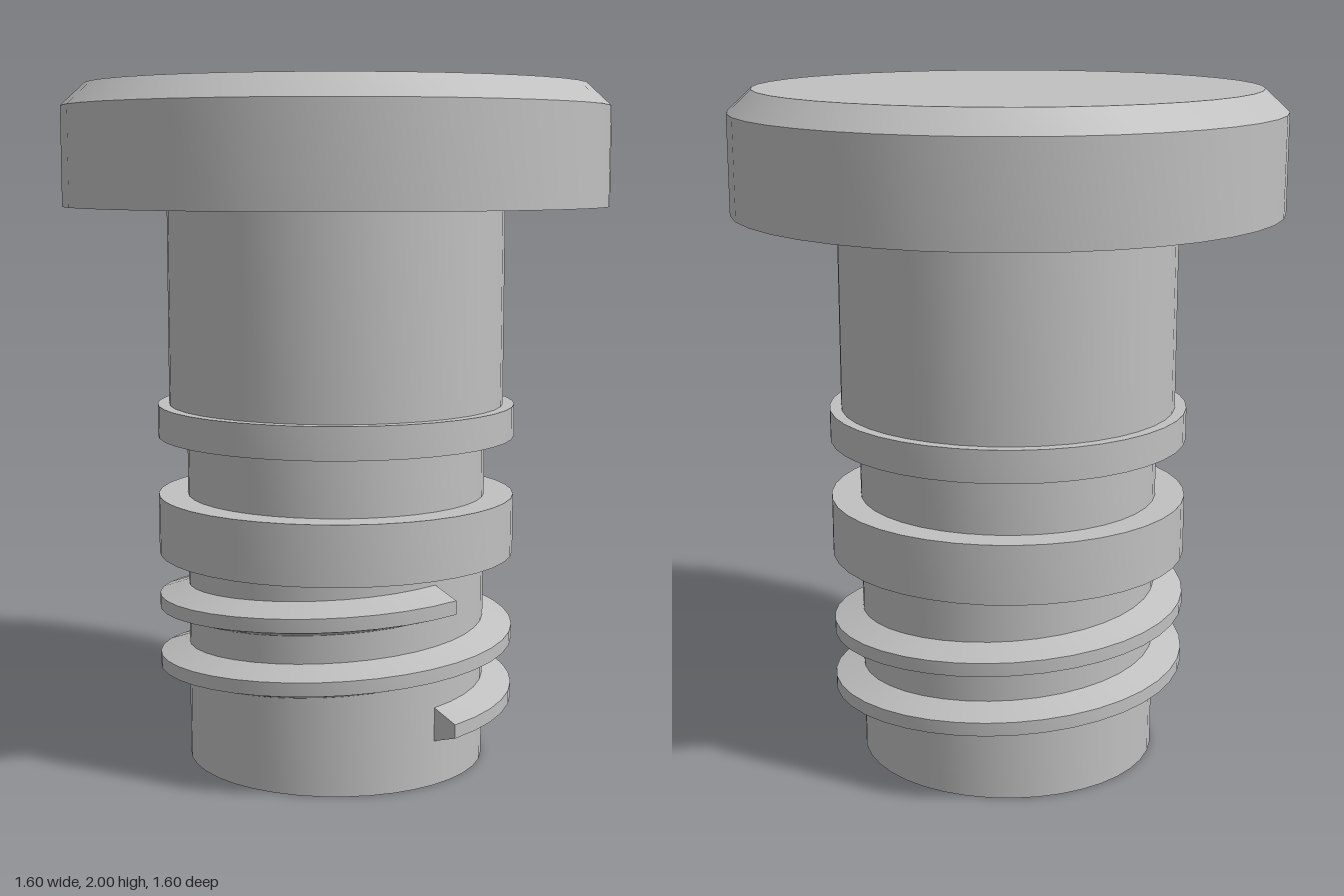
import * as THREE from 'three';
import { toCreasedNormals } from 'three/addons/utils/BufferGeometryUtils.js';

const SIDES = 40;

export function createModel() {
  const model = new THREE.Group();
  const grey = new THREE.MeshStandardMaterial({ color: 0xc0c0c0 });
  grey.name = 'plain grey';
  const innerGrey = grey.clone();
  innerGrey.side = THREE.BackSide;

  const add = (name, geometry, material = grey) => {
    const mesh = new THREE.Mesh(geometry, material);
    mesh.name = name;
    model.add(mesh);
    return mesh;
  };
  const turned = (name, profile) => {
    const points = profile.map(([r, y]) => new THREE.Vector2(r, y));
    add(name, toCreasedNormals(new THREE.LatheGeometry(points, SIDES), 0.5));
  };

  // Stem with its two collars, turned as one stepped body
  turned('stem', [
    [0, 0], [0.443, 0], [0.443, 0.625], [0.53, 0.625], [0.53, 0.8], [0.443, 0.8],
    [0.443, 0.975], [0.53, 0.975], [0.53, 1.07], [0.496, 1.07], [0.496, 1.65],
  ]);

  // Head with a bevelled top edge
  turned('head', [[0.798, 1.65], [0.798, 1.935], [0.728, 2], [0, 2]]);

  // Underside of the head, with a small pocket beside the stem
  const pocket = { x0: 0.5, x1: 0.6, z0: -0.06, z1: 0.12, depth: 0.1 };
  const { x0, x1, z0, z1, depth } = pocket;
  const disc = new THREE.Shape().absarc(0, 0, 0.798, 0, Math.PI * 2, false);
  disc.holes.push(new THREE.Path([[x0, z0], [x0, z1], [x1, z1], [x1, z0]]
    .map(([x, z]) => new THREE.Vector2(x, z))));
  const under = add('headUnderside', new THREE.ShapeGeometry(disc, SIDES / 2).rotateX(Math.PI / 2));
  under.position.y = 1.65;

  // Pocket walls and ceiling, seen from inside; the bottom face is left open
  const box = new THREE.BoxGeometry(x1 - x0, depth, z1 - z0);
  const index = Array.from(box.index.array);
  index.splice(18, 6);
  box.setIndex(index);
  const recess = add('headPocket', box, innerGrey);
  recess.position.set((x0 + x1) / 2, 1.65 + depth / 2, (z0 + z1) / 2);

  add('screwThread', threadGeometry(0.18, 0.18, 2));
  return model;
}

// Trapezoid section swept up a helix that starts on the +x side
function threadGeometry(startY, pitch, turns) {
  const section = [[0.435, -0.052], [0.53, -0.02], [0.53, 0.02], [0.435, 0.052]];
  const steps = SIDES * turns;
  const positions = [], index = [];
  for (let i = 0; i <= steps; i++) {
    const t = (i / SIDES) * Math.PI * 2;
    for (const [r, y] of section) {
      positions.push(r * Math.cos(t), startY + (pitch * i) / SIDES + y, -r * Math.sin(t));
    }
  }
  for (let i = 0; i < steps; i++) {
    for (let j = 0; j < 4; j++) {
      const a = i * 4 + j, c = i * 4 + ((j + 1) % 4);
      index.push(a, a + 4, c, c, a + 4, c + 4);
    }
  }
  const e = steps * 4;
  index.push(0, 1, 2, 0, 2, 3, e, e + 2, e + 1, e, e + 3, e + 2);
  const geometry = new THREE.BufferGeometry();
  geometry.setAttribute('position', new THREE.Float32BufferAttribute(positions, 3));
  geometry.setIndex(index);
  return toCreasedNormals(geometry, 0.35);
}
